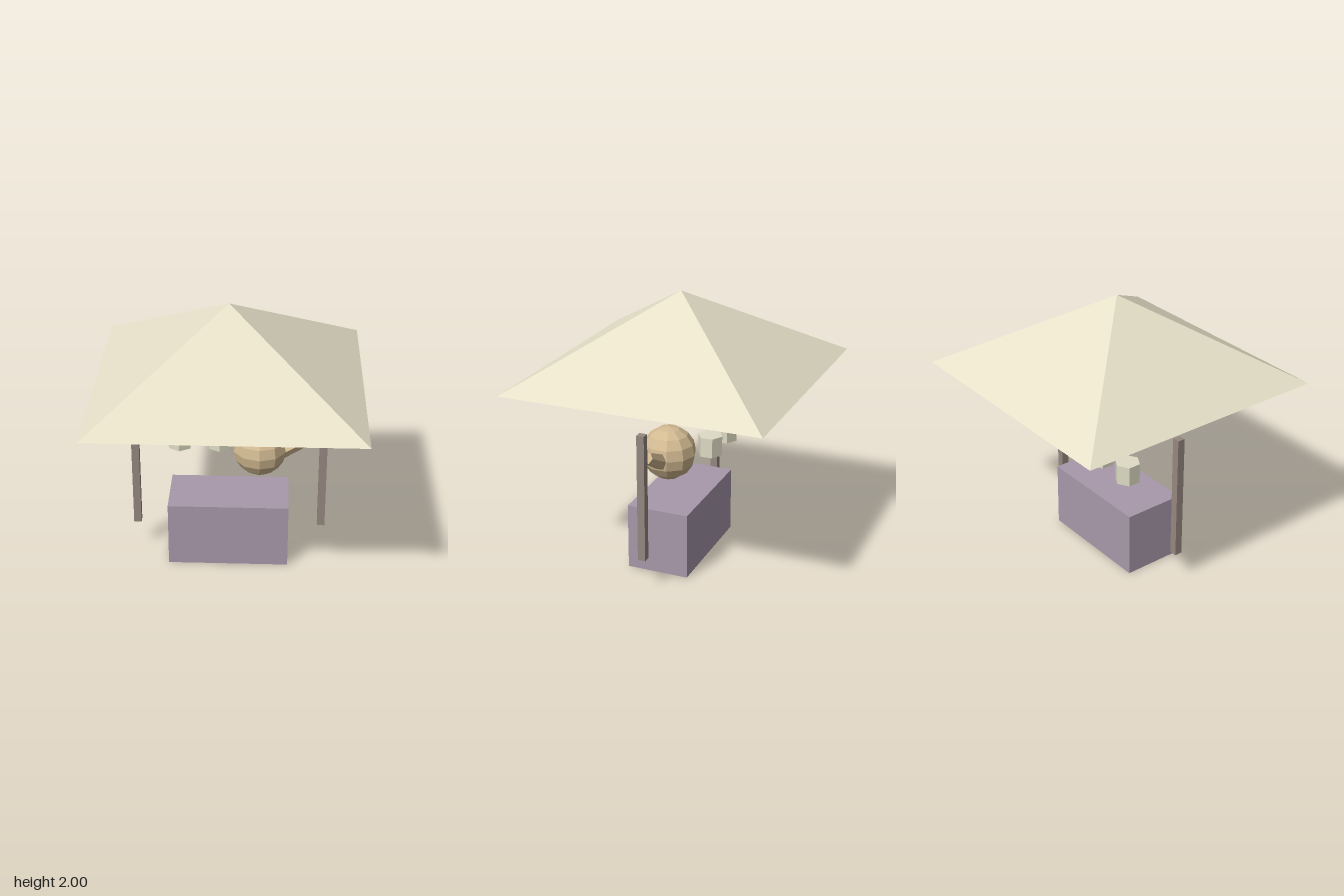
import * as THREE from 'three';

const mat = (color) => new THREE.MeshStandardMaterial({ color, flatShading: true });

export function createModel() {
  const model = new THREE.Group();
  model.name = 'teaStall';

  const canvas = mat(0xe6e0c8);
  const plum = mat(0xa899ab);
  const wood = mat(0x968880);
  const clay = mat(0xd2ba92);
  const cream = mat(0xdedcc4);

  const add = (name, geometry, material, x, y, z, parent = model) => {
    const mesh = new THREE.Mesh(geometry, material);
    mesh.name = name;
    mesh.position.set(x, y, z);
    parent.add(mesh);
    return mesh;
  };

  // Four-sided roof with a closed underside
  const roofHalf = 0.955;
  const roof = new THREE.ConeGeometry(roofHalf * Math.SQRT2, 0.6, 4).rotateY(Math.PI / 4);
  add('roof', roof, canvas, 0, 1.7, 0);

  // Counter block
  add('counter', new THREE.BoxGeometry(0.885, 0.49, 0.46), plum, 0, 0.245, 0);

  // Side posts
  for (const side of [-1, 1]) {
    add(side > 0 ? 'leftPost' : 'rightPost',
      new THREE.BoxGeometry(0.056, 0.944, 0.056), wood, side * 0.69, 0.698, 0);
  }

  // Teapot: faceted body and tapered six-sided spout
  const teapot = new THREE.Group();
  teapot.name = 'teapot';
  teapot.position.set(0.225, 0.863, 0);
  model.add(teapot);
  const body = new THREE.SphereGeometry(0.198, 10, 8).rotateY(Math.PI / 2);
  add('teapotBody', body, clay, 0, 0, 0, teapot);

  const tilt = 0.48; // rise of the spout above horizontal
  const length = 0.3;
  const spout = add('teapotSpout', new THREE.CylinderGeometry(0.043, 0.065, length, 6), clay,
    0.383 - Math.cos(tilt) * length / 2, 0.104 - Math.sin(tilt) * length / 2, 0, teapot);
  spout.rotation.z = tilt - Math.PI / 2;

  // Six-sided cups behind the pot
  [-0.075, -0.378].forEach((x, i) => {
    add(`cup${i + 1}`, new THREE.CylinderGeometry(0.093, 0.093, 0.148, 6), cream, x, 0.838, -0.2);
  });

  return model;
}
